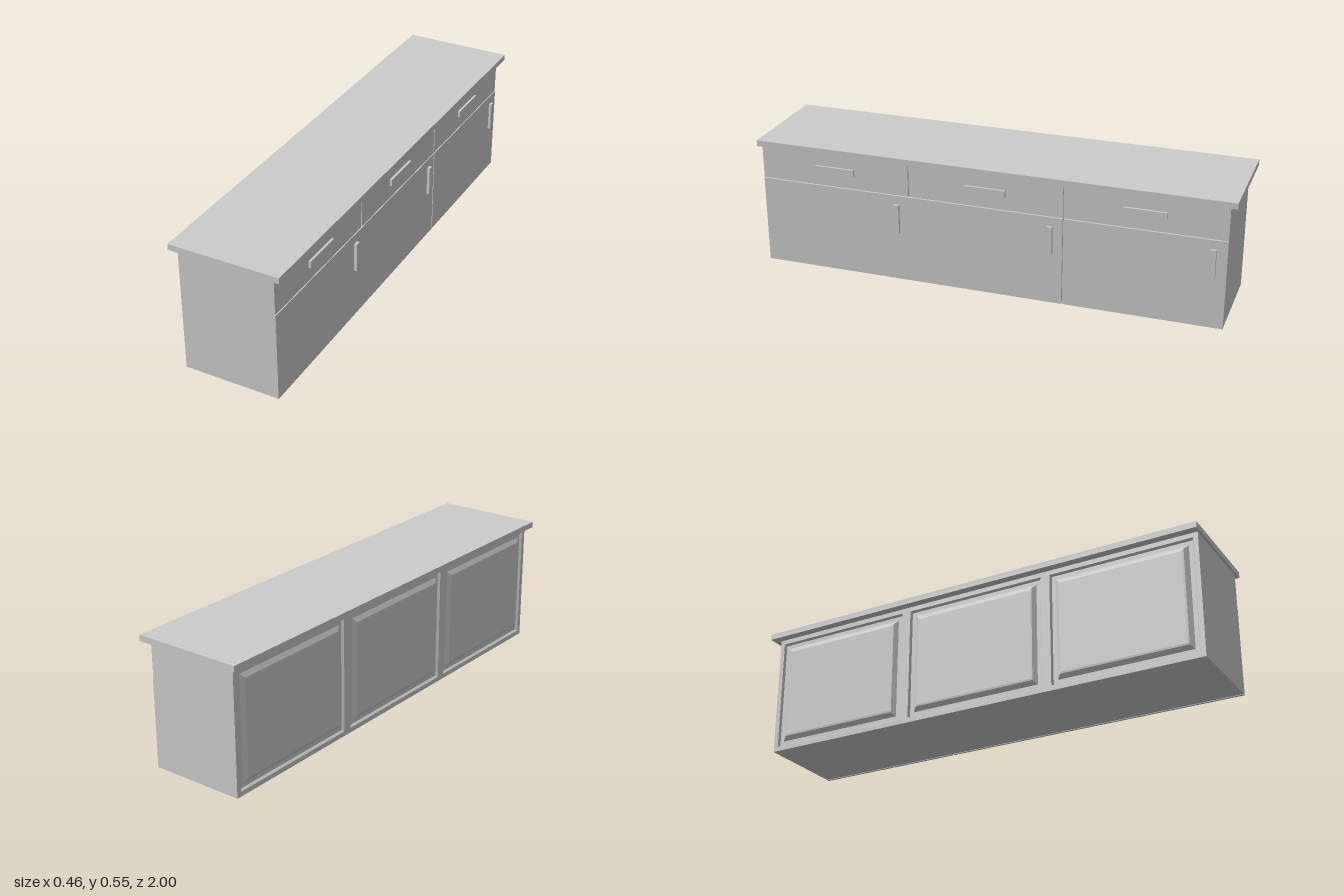
import * as THREE from 'three';

const material = new THREE.MeshStandardMaterial({ color: 0xcccccc, flatShading: true });

// Box given by its low and high corners
function box(name, x0, x1, y0, y1, z0, z1) {
  const mesh = new THREE.Mesh(new THREE.BoxGeometry(x1 - x0, y1 - y0, z1 - z0), material);
  mesh.position.set((x0 + x1) / 2, (y0 + y1) / 2, (z0 + z1) / 2);
  mesh.name = name;
  return mesh;
}

// Framed raised panel facing -x: nested rectangles, each [inset, x], joined by bands
function raisedPanel(y0, y1, z0, z1, steps) {
  const pos = [];
  const quad = (a, b, c, d) => pos.push(...a, ...b, ...c, ...a, ...c, ...d);
  const loops = steps.map(([i, x]) => [
    [x, y0 + i, z0 + i], [x, y0 + i, z1 - i], [x, y1 - i, z1 - i], [x, y1 - i, z0 + i],
  ]);
  for (let k = 0; k + 1 < loops.length; k++) {
    for (let j = 0; j < 4; j++) {
      const n = (j + 1) % 4;
      quad(loops[k][j], loops[k][n], loops[k + 1][n], loops[k + 1][j]);
    }
  }
  quad(...loops[loops.length - 1]);
  const geometry = new THREE.BufferGeometry();
  geometry.setAttribute('position', new THREE.Float32BufferAttribute(pos, 3));
  geometry.computeVertexNormals();
  return geometry;
}

export function createModel() {
  const model = new THREE.Group();
  model.name = 'sideboard';

  const splits = [-0.97, -0.317, 0.337, 0.99];
  const gap = 0.003;

  // Carcass and overhanging top
  model.add(box('carcass', -0.18, 0.196, 0.002, 0.525, -0.97, 0.99));
  model.add(box('worktop', -0.231, 0.231, 0.525, 0.55, -1, 1));

  // Frame edge, recess and bevelled field of each back panel
  const steps = [[0, -0.18], [0, -0.196], [0.02, -0.196], [0.026, -0.186], [0.043, -0.186], [0.06, -0.199], [0.068, -0.2]];

  for (let i = 0; i < 3; i++) {
    const z0 = splits[i], z1 = splits[i + 1], mid = (z0 + z1) / 2;

    // Drawer with a horizontal handle
    const drawer = new THREE.Group();
    drawer.name = 'drawer';
    drawer.add(box('drawerFront', 0.196, 0.204, 0.378, 0.523, z0 + (i ? gap : 0), z1 - (i < 2 ? gap : 0)));
    drawer.add(box('drawerHandle', 0.204, 0.214, 0.436, 0.464, mid - 0.087, mid + 0.087));
    model.add(drawer);

    // Upright door handle near the edge of each bay
    model.add(box('doorHandle', 0.206, 0.218, 0.213, 0.337, z0 + 0.043, z0 + 0.065));

    const back = new THREE.Mesh(raisedPanel(0.002, 0.525, z0, z1, steps), material);
    back.name = 'backPanel';
    model.add(back);
  }

  // One single door and one wide door
  model.add(box('singleDoor', 0.196, 0.206, 0, 0.375, splits[0], splits[1] - gap));
  model.add(box('wideDoor', 0.196, 0.206, 0, 0.375, splits[1] + gap, splits[3]));

  return model;
}
